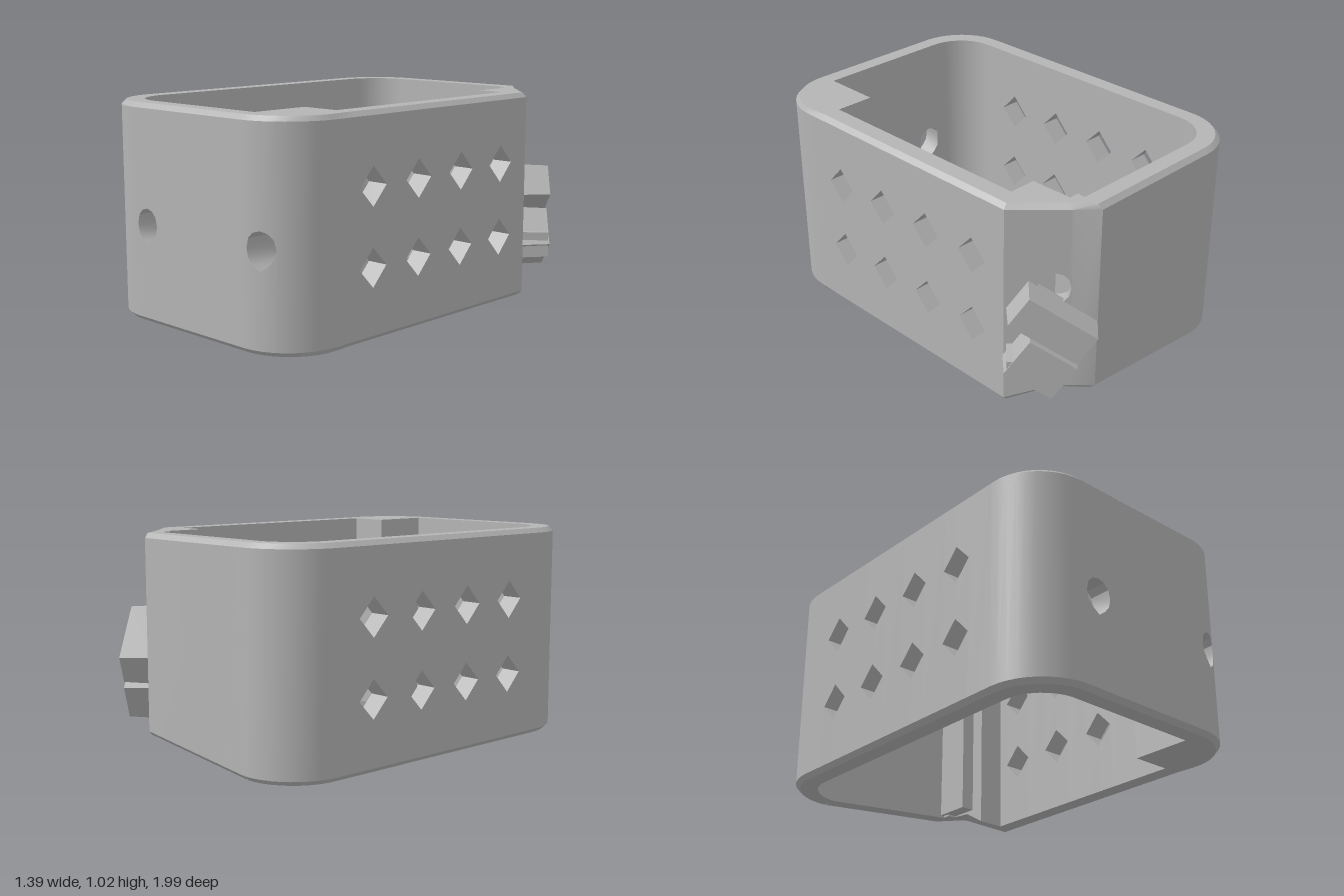
import * as THREE from 'three';
import { toCreasedNormals } from 'three/addons/utils/BufferGeometryUtils.js';

const TOP = 1.02, BEVEL = 0.022, NOTCH = 0.07;

// Teardrop hole: offset along the wall, lower edge, upper edge
const TEARDROP = [
  [-0.07, 0.46, 0.46], [-0.06, 0.42, 0.505], [-0.035, 0.39, 0.53], [0, 0.365, 0.54],
  [0.035, 0.39, 0.53], [0.06, 0.42, 0.505], [0.07, 0.46, 0.46],
];
const RAISE = 0.148; // rear holes sit higher

// A station is one vertical slice of the wall: outer point, inner point, openings,
// base height and, for blind pockets, the point where the pocket ends
const station = (ox, oz, ix, iz, gaps = [], base = 0, pocket = null) =>
  ({ o: [ox, oz], i: [ix, iz], gaps, base, pocket });

function sideDiamonds(outerX, innerX, dir) {
  const list = [];
  for (const c of [-0.42, -0.12, 0.18, 0.48]) {
    for (const k of [-1, 0, 1]) {
      const h = k === 0 ? 0.09 : 0;
      const gaps = [0.33, 0.69].map((y) => [y - h, y + h]);
      list.push(station(outerX, c + k * 0.085, innerX, c + k * 0.085, gaps));
    }
  }
  return dir > 0 ? list : list.reverse();
}

function roundCorner(zOut, zIn, from) {
  const list = [];
  for (let k = 0; k <= 10; k++) {
    const a = from + (k / 10) * Math.PI / 2, s = -Math.sin(a), c = -Math.cos(a);
    list.push(station(-0.41 + 0.28 * s, zOut + 0.28 * c, -0.39 + 0.2 * s, zIn + 0.2 * c));
  }
  return list;
}

// Walk round the wall: back, left, front, right, cut corner
function wallStations() {
  const list = [station(0.31, -0.91, 0.31, -0.81, [], NOTCH)];
  for (const [u, lo, hi] of [...TEARDROP].reverse()) {
    list.push(station(-0.33 - u, -0.91, -0.33 - u, -0.81, [[lo + RAISE, hi + RAISE]],
      u > 0.05 ? 0 : NOTCH));
  }
  list.push(...roundCorner(-0.63, -0.61, 0));
  list.push(...sideDiamonds(-0.69, -0.59, 1));
  list.push(...roundCorner(0.71, 0.69, Math.PI / 2));
  for (const [u, lo, hi] of TEARDROP) {
    list.push(station(-0.33 + u, 0.99, -0.33 + u, 0.89, [[lo, hi]]));
  }

  // Front corner, filled by a square pillar with a blind pocket
  list.push(station(0.3, 0.99, 0.3, 0.89), station(0.3, 0.99, 0.3, 0.6));
  const arc = (x, gaps, pocket) => station(x,
    0.71 + Math.sqrt(Math.max(0, 0.0784 - (x - 0.32) ** 2)), 0.3 + (x - 0.3) * 0.65, 0.6,
    gaps, 0, pocket);
  list.push(arc(0.32));
  for (const [u, lo, hi] of TEARDROP) {
    const x = 0.415 + u * 0.95;
    list.push(arc(x, [[lo, hi]], [x, 0.78]));
  }
  for (const x of [0.51, 0.54, 0.565, 0.583, 0.595, 0.6]) list.push(arc(x));
  list.push(station(0.6, 0.6, 0.495, 0.6));
  list.push(...sideDiamonds(0.6, 0.495, -1));

  // Cut rear corner with its inner block and blind pocket
  list.push(station(0.6, -0.56, 0.495, -0.56), station(0.6, -0.62, 0.36, -0.56));
  const cut = (f, gaps, pocket) => {
    const x = 0.6 - 0.29 * f, z = -0.62 - 0.29 * f;
    return station(x, z, 0.36, -0.56 - 0.21 * f, gaps, NOTCH * Math.min(1, f * 1.8),
      pocket && [x - 0.07, z + 0.07]);
  };
  for (const [u, lo, hi] of TEARDROP) {
    list.push(cut(0.53 + u * 2.6, [[lo + RAISE, hi + RAISE]], true));
  }
  list.push(cut(1), station(0.31, -0.91, 0.31, -0.77, [], NOTCH), list[0]);
  return list;
}

function wallGeometry() {
  const pos = [];
  const tri = (...p) => {
    const [a, b, c] = p.map((q) => new THREE.Vector3(...q));
    if (b.clone().sub(a).cross(c.clone().sub(a)).length() > 1e-8) pos.push(...p.flat());
  };
  const quad = (a, b, c, d) => { tri(a, b, c); tri(a, c, d); };
  const at = (p, y) => [p[0], y, p[1]];
  const inset = ({ o, i }) => {
    const k = BEVEL / Math.hypot(i[0] - o[0], i[1] - o[1]);
    return [o[0] + (i[0] - o[0]) * k, o[1] + (i[1] - o[1]) * k];
  };
  const list = wallStations();
  for (let n = 0; n + 1 < list.length; n++) {
    const A = list[n], B = list[n + 1], ea = inset(A), eb = inset(B);
    const gaps = [];
    if (A.gaps.length === B.gaps.length) {
      A.gaps.forEach((g, k) => {
        const h = B.gaps[k];
        if (g[1] - g[0] + h[1] - h[0] > 1e-6) gaps.push([g, h]);
      });
    }
    const blind = A.pocket && B.pocket;

    // Outer and inner faces between the openings
    const face = (pa, pb, lowA, lowB, high, holes, flip) => {
      let la = lowA, lb = lowB;
      for (const [g, h] of [...holes, [[high], [high]]]) {
        const q = [at(pa, la), at(pb, lb), at(pb, h[0]), at(pa, g[0])];
        quad(...(flip ? q.reverse() : q));
        la = g[1]; lb = h[1];
      }
    };
    face(A.o, B.o, A.base + BEVEL, B.base + BEVEL, TOP - BEVEL, gaps, false);
    face(A.i, B.i, A.base, B.base, TOP, blind ? [] : gaps, true);

    // Reveals of the openings and pocket floors
    const da = blind ? A.pocket : A.i, db = blind ? B.pocket : B.i;
    for (const [g, h] of gaps) {
      quad(at(A.o, g[0]), at(B.o, h[0]), at(db, h[0]), at(da, g[0]));
      quad(at(da, g[1]), at(db, h[1]), at(B.o, h[1]), at(A.o, g[1]));
      if (blind) quad(at(da, g[0]), at(db, h[0]), at(db, h[1]), at(da, g[1]));
    }

    // Bevelled rims
    quad(at(A.o, TOP - BEVEL), at(B.o, TOP - BEVEL), at(eb, TOP), at(ea, TOP));
    quad(at(ea, TOP), at(eb, TOP), at(B.i, TOP), at(A.i, TOP));
    quad(at(ea, A.base), at(eb, B.base), at(B.o, B.base + BEVEL), at(A.o, A.base + BEVEL));
    quad(at(A.i, A.base), at(B.i, B.base), at(eb, B.base), at(ea, A.base));
  }
  const geo = new THREE.BufferGeometry();
  geo.setAttribute('position', new THREE.Float32BufferAttribute(pos, 3));
  return toCreasedNormals(geo, 0.5);
}

// Block whose outer end is slightly smaller than its root
function clipGeometry(length, width, depth) {
  const geo = new THREE.BoxGeometry(length, width, depth);
  const p = geo.attributes.position;
  for (let k = 0; k < p.count; k++) {
    if (p.getZ(k) > 0) p.setXY(k, p.getX(k) * 0.97, p.getY(k) * 0.94);
  }
  return toCreasedNormals(geo, 0.1);
}

export function createModel() {
  const model = new THREE.Group();
  const grey = new THREE.MeshStandardMaterial({ color: 0xb4b4b4, side: THREE.DoubleSide });
  grey.name = 'grey';
  const add = (parent, name, geo) => {
    const mesh = new THREE.Mesh(geo, grey);
    mesh.name = name;
    parent.add(mesh);
    return mesh;
  };

  add(model, 'wall', wallGeometry());
  add(model, 'innerLedge', new THREE.BoxGeometry(0.08, 0.89, 0.18)).position.set(0.33, 0.525, -0.72);

  // Tilted clips on the cut corner; local +z points out of the cut face
  const clips = new THREE.Group();
  clips.name = 'clips';
  clips.position.set(0.455, 0, -0.765);
  clips.rotation.y = Math.PI * 0.75;
  model.add(clips);
  for (const [name, x, y, length, width] of [
    ['upperClip', 0.005, 0.475, 0.37, 0.17],
    ['lowerClip', -0.045, 0.27, 0.26, 0.21],
  ]) {
    const clip = add(clips, name, clipGeometry(length, width, 0.16));
    clip.position.set(x, y, 0.055);
    clip.rotation.z = -0.6;
  }
  // Small lug at the end of the lower clip
  add(clips, 'clipLug', clipGeometry(0.08, 0.13, 0.14)).position.set(-0.155, 0.255, 0.06);
  return model;
}
